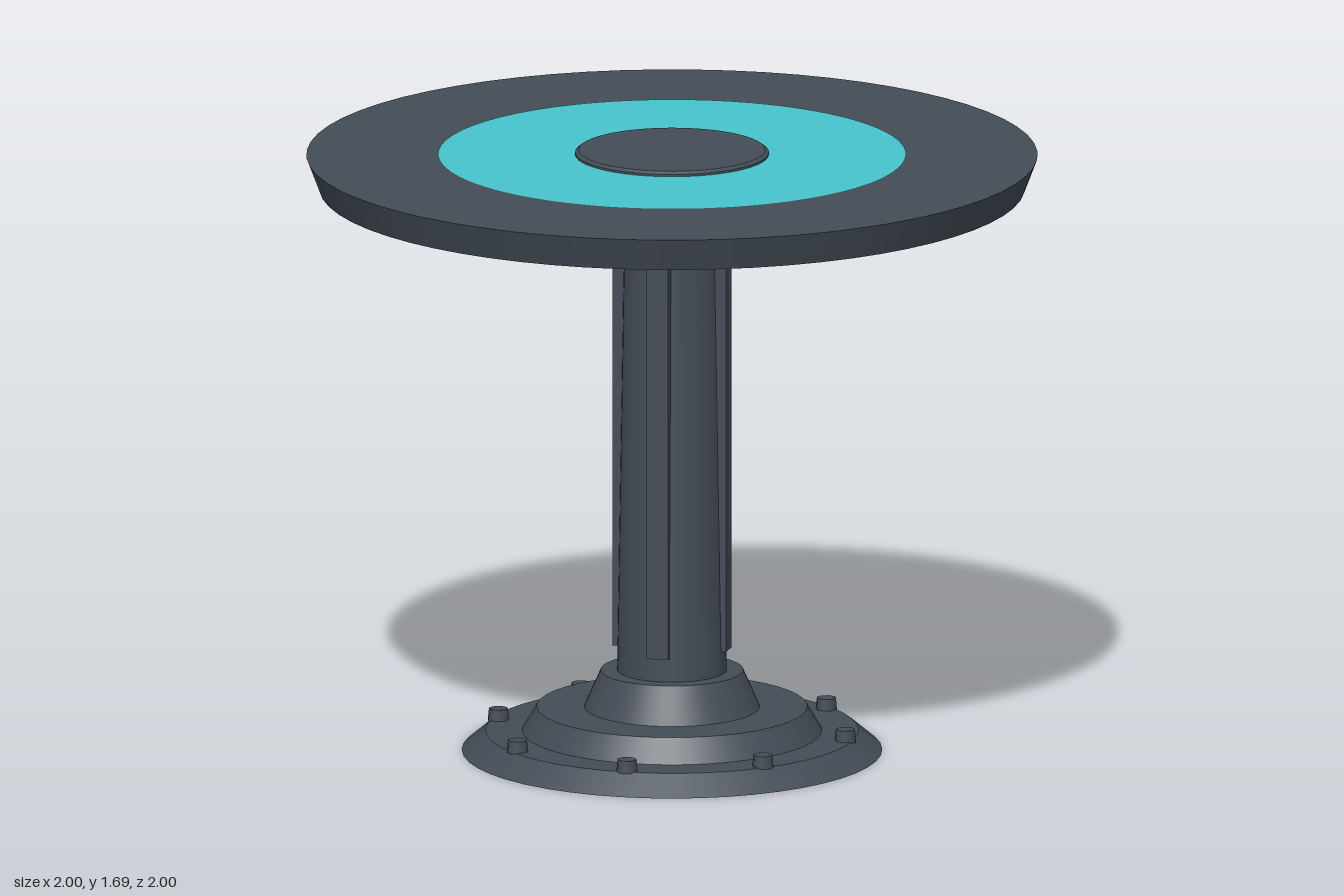
import * as THREE from 'three';

const metal = new THREE.MeshStandardMaterial({ color: 0x434c56 });
metal.name = 'dark metal';
const glow = new THREE.MeshStandardMaterial({ color: 0x47c4cc });
glow.name = 'teal';

export function createModel() {
  const group = new THREE.Group();

  const add = (name, geometry, material, x = 0, y = 0, z = 0) => {
    const mesh = new THREE.Mesh(geometry, material);
    mesh.name = name;
    mesh.position.set(x, y, z);
    group.add(mesh);
    return mesh;
  };
  // Tapered disc standing between two heights
  const tier = (name, rBottom, rTop, y0, y1, sides = 48) =>
    add(name, new THREE.CylinderGeometry(rTop, rBottom, y1 - y0, sides), metal, 0, (y0 + y1) / 2, 0);

  // Stepped foot
  tier('baseFlange', 0.575, 0.51, 0, 0.055);
  tier('baseStep', 0.41, 0.37, 0.055, 0.122);
  tier('baseCollar', 0.24, 0.195, 0.122, 0.225);

  // Pedestal column and the cone under the top
  tier('column', 0.15, 0.13, 0.225, 1.49, 32);
  tier('topSupport', 0.195, 0.56, 1.49, 1.58);

  // Table top with raised centre hub
  tier('tableTop', 0.965, 1, 1.58, 1.672, 64);
  tier('hub', 0.265, 0.265, 1.672, 1.68);
  tier('hubBevel', 0.265, 0.255, 1.68, 1.687);

  // Coloured ring inlaid around the hub
  const ring = add('inlayRing', new THREE.RingGeometry(0.25, 0.64, 64), glow, 0, 1.674, 0);
  ring.rotation.x = -Math.PI / 2;

  // Four vertical ribs on the column diagonals
  for (let i = 0; i < 4; i++) {
    const a = Math.PI / 4 + (i * Math.PI) / 2;
    const rib = add('columnRib', new THREE.BoxGeometry(0.06, 1.13, 0.06), metal,
      Math.sin(a) * 0.13, 0.855, Math.cos(a) * 0.13);
    rib.rotation.y = a;
  }

  // Eight bolts around the flange
  for (let i = 0; i < 8; i++) {
    const a = (i * Math.PI) / 4;
    add('bolt', new THREE.CylinderGeometry(0.027, 0.03, 0.035, 8), metal,
      Math.sin(a) * 0.49, 0.069, Math.cos(a) * 0.49);
  }
  return group;
}
